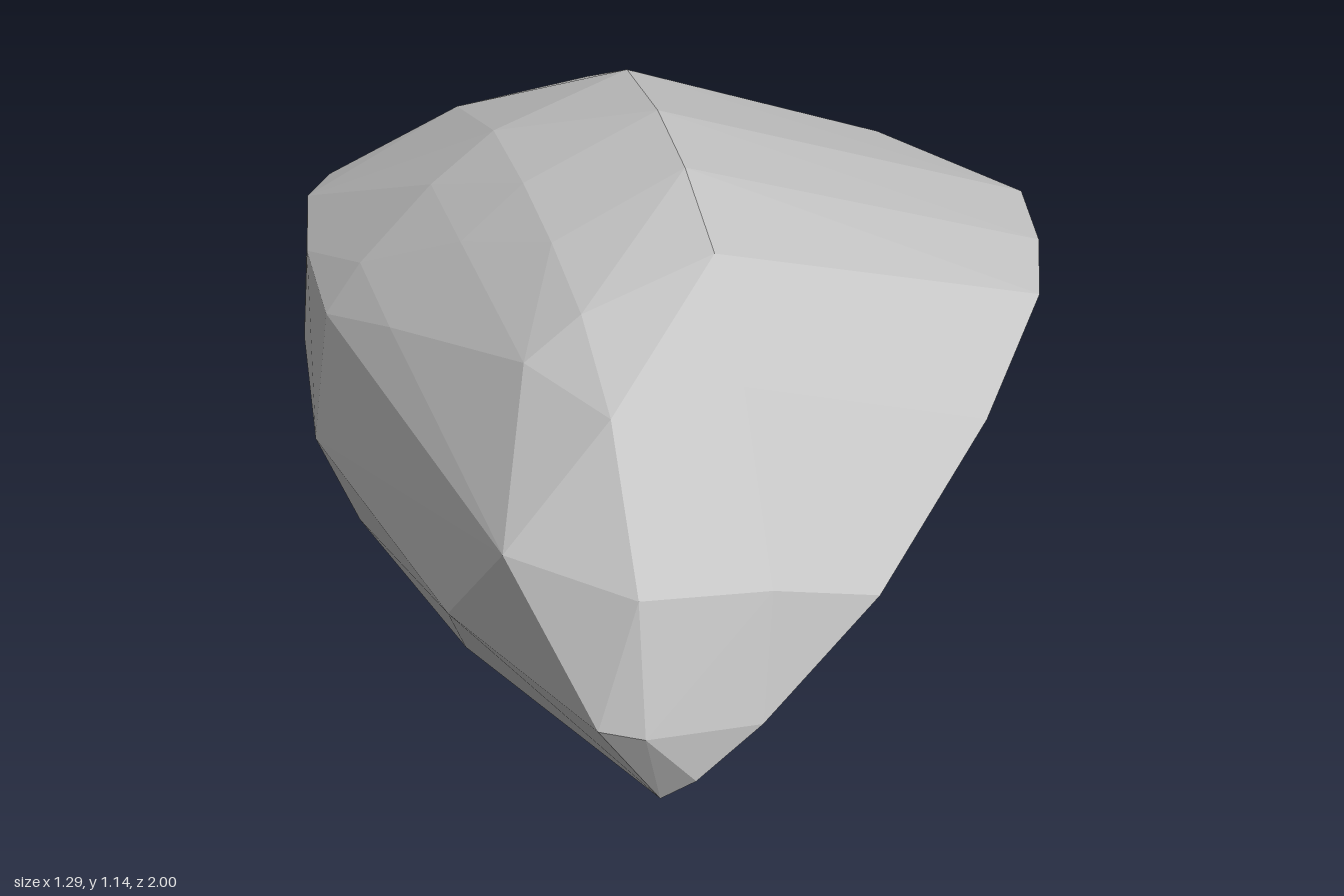
import * as THREE from 'three';
import { ConvexGeometry } from 'three/addons/geometries/ConvexGeometry.js';

export function createModel() {
  const group = new THREE.Group();
  group.name = 'rock';
  const stone = new THREE.MeshStandardMaterial({ color: 0xc6c6c6, flatShading: true });
  stone.name = 'stone grey';

  // Outline of the large flat cut as [y, z]; x follows from the cut plane
  const cut = [
    [0.39, 0.997], [0.28, 0.99], [0.225, 0.94], [0, -0.17], [0.025, -0.37],
    [0.3, -0.71], [0.44, -0.84], [0.465, -0.82], [0.905, -0.05], [0.915, 0.17],
    [0.9, 0.36], [0.79, 0.63], [0.59, 0.91],
  ].map(([y, z]) => [-0.41 + 1.16 * y - 0.118 * z, y, z]);

  // Rounded crown, front to back
  const crown = [
    [-0.045, 0.64, 0.945], [-0.045, 0.94, 0.69], [-0.045, 1.09, 0.43],
    [-0.045, 1.14, 0.17], [-0.045, 1.14, -0.07], [-0.045, 1.09, -0.34],
    [-0.045, 0.9, -0.69],
    [-0.3, 0.38, 0.997], [-0.3, 0.64, 0.935], [-0.3, 0.9, 0.69],
    [-0.3, 0.99, 0.43], [-0.3, 1.01, 0.17], [-0.3, 1.01, -0.08],
    [-0.3, 0.99, -0.34], [-0.3, 0.88, -0.66],
    [-0.41, 0.9, 0.43], [-0.42, 0.9, -0.08], [-0.42, 0.89, -0.34],
  ];

  // Weathered side
  const side = [
    [-0.38, 0.38, 0.945], [-0.508, 0.64, 0.695], [-0.555, 0.39, 0.43],
    [-0.555, 0.735, -0.08], [-0.555, 0.74, -0.34], [-0.62, 0.64, -0.34],
    [-0.64, 0.38, -0.34], [-0.605, 0.46, -0.6], [-0.6, 0.64, -0.6],
    [-0.555, 0.2, -0.34], [-0.45, 0.1, -0.44],
    [-0.555, 0.65, -0.8], [-0.5, 0.66, -0.86],
  ];

  // Back point and the smaller back cut
  const back = [
    [-0.3, 0.64, -1], [0.14, 0.56, -0.865],
    [0.16, 0.85, -0.635], [0.42, 0.94, -0.28],
  ];

  const points = [...cut, ...crown, ...side, ...back].map((p) => new THREE.Vector3(...p));
  const body = new THREE.Mesh(new ConvexGeometry(points), stone);
  body.name = 'rockBody';
  group.add(body);
  return group;
}
